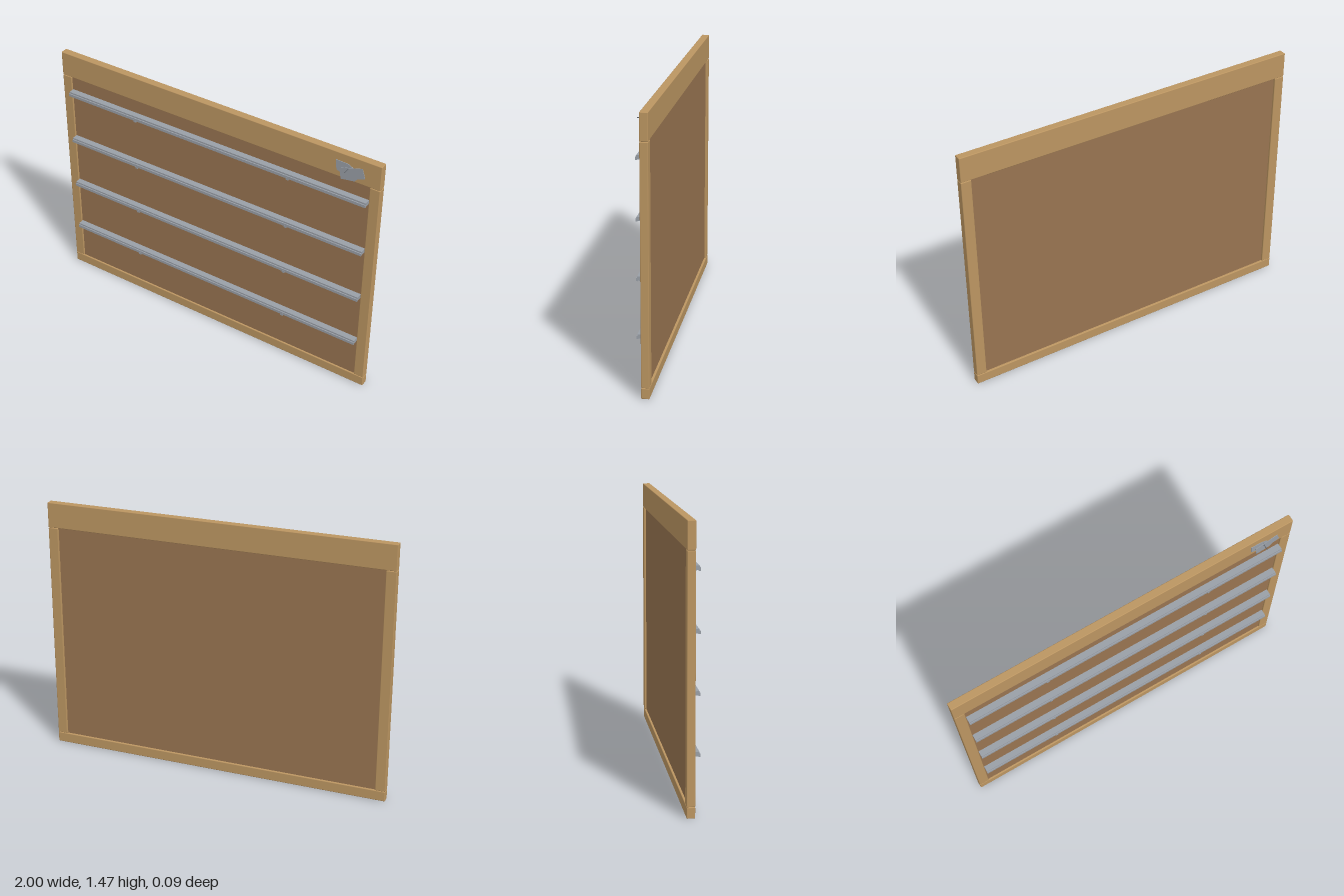
import * as THREE from 'three';
import { RoundedBoxGeometry } from 'three/addons/geometries/RoundedBoxGeometry.js';

const mat = (name, color) => {
  const m = new THREE.MeshStandardMaterial({ color });
  m.name = name;
  return m;
};

export function createModel() {
  const model = new THREE.Group();
  model.name = 'wallDisplayBoard';
  const wood = mat('frame wood', 0xbb9561);
  const board = mat('panel wood', 0x987451);
  const metal = mat('grey metal', 0x999fa7);
  const dark = mat('dark metal', 0x5c6066);

  const add = (name, geometry, material, x = 0, y = 0, z = 0, parent = model) => {
    const mesh = new THREE.Mesh(geometry, material);
    mesh.name = name;
    mesh.position.set(x, y, z);
    parent.add(mesh);
    return mesh;
  };
  // Softly eased timber between two corners in the frame's depth
  const timber = (name, x0, x1, y0, y1) =>
    add(name, new RoundedBoxGeometry(x1 - x0, y1 - y0, 0.043, 2, 0.004), wood,
      (x0 + x1) / 2, (y0 + y1) / 2, -0.0225);

  // Frame
  timber('topRail', -1, 1, 1.328, 1.472);
  timber('bottomRail', -1, 1, 0, 0.058);
  timber('rightStile', -1, -0.942, 0.059, 1.327);
  timber('leftStile', 0.942, 1, 0.059, 1.327);

  // Recessed panel
  add('backPanel', new THREE.BoxGeometry(1.89, 1.28, 0.022), board, 0, 0.692, -0.021);

  // Hanging rails: a channel with a hooked front lip, and two small clips
  const profile = new THREE.Shape([
    [-0.01, -0.011], [0.022, -0.011], [0.022, -0.014], [0.031, -0.014],
    [0.031, 0.002], [0.025, 0.002], [0.025, 0.011], [-0.01, 0.011],
  ].map(([z, y]) => new THREE.Vector2(-z, y)));
  const railGeo = new THREE.ExtrudeGeometry(profile, { depth: 1.88, bevelEnabled: false });
  railGeo.rotateY(Math.PI / 2).translate(-0.94, 0, 0);
  [0.311, 0.618, 0.926, 1.235].forEach((y, i) => {
    const rail = new THREE.Group();
    rail.name = `hangingRail${i + 1}`;
    rail.position.y = y;
    model.add(rail);
    add('railChannel', railGeo, metal, 0, 0, 0, rail);
    for (const s of [-1, 1]) {
      add('railClip', new THREE.BoxGeometry(0.016, 0.014, 0.006), metal, s * 0.485, -0.015, 0.029, rail);
    }
  });

  // Overlapping tags hung on a nail
  const tag = (name, points, z) => {
    const shape = new THREE.Shape(points.map(([x, y]) => new THREE.Vector2(x, y)));
    return add(name, new THREE.ExtrudeGeometry(shape, { depth: 0.003, bevelEnabled: false }), metal, 0, 0, z);
  };
  tag('rearTag', [[0.745, 1.428], [0.752, 1.368], [0.80, 1.355], [0.86, 1.375], [0.845, 1.41], [0.815, 1.425]], 0.001);
  tag('frontTag', [[0.782, 1.328], [0.862, 1.342], [0.875, 1.36], [0.917, 1.378], [0.9, 1.432], [0.825, 1.408], [0.772, 1.395]], 0.008);
  const nail = add('nail', new THREE.CylinderGeometry(0.002, 0.002, 0.044, 8), dark, 0.82, 1.4, 0.022);
  nail.rotation.x = Math.PI / 2;

  return model;
}
